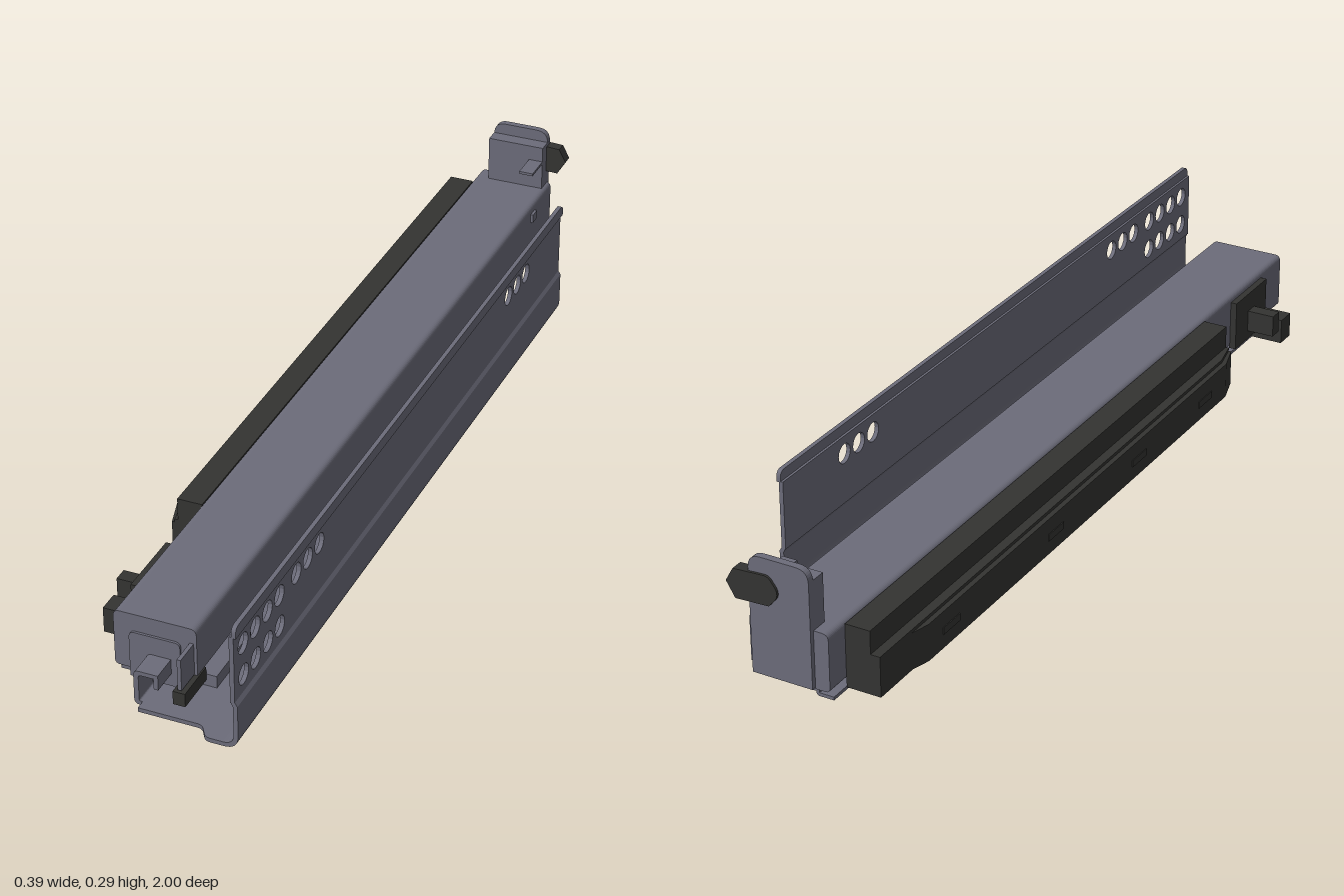
import * as THREE from 'three';

const steel = new THREE.MeshStandardMaterial({ color: 0x6c6c7a });
const plastic = new THREE.MeshStandardMaterial({ color: 0x343432 });

// Polygon shape; corners given as [x, y, r] are rounded by r
function poly(pts) {
  const s = new THREE.Shape();
  const n = pts.length;
  const toward = (a, b, d) => {
    const l = Math.hypot(b[0] - a[0], b[1] - a[1]);
    return [a[0] + (b[0] - a[0]) * d / l, a[1] + (b[1] - a[1]) * d / l];
  };
  pts.forEach((p, i) => {
    const r = p[2] || 0;
    const a = r ? toward(p, pts[(i + n - 1) % n], r) : p;
    if (i === 0) s.moveTo(a[0], a[1]); else s.lineTo(a[0], a[1]);
    if (r) {
      const b = toward(p, pts[(i + 1) % n], r);
      s.quadraticCurveTo(p[0], p[1], b[0], b[1]);
    }
  });
  s.closePath();
  return s;
}

const extrude = (shape, depth) =>
  new THREE.ExtrudeGeometry(shape, { depth, bevelEnabled: false, curveSegments: 8 });

// Shape in (x, y) swept along z
const alongZ = (shape, z0, z1) => extrude(shape, z1 - z0).translate(0, 0, z0);
// Shape in (z, y) swept along x
const alongX = (shape, x0, x1) => extrude(shape, x1 - x0).rotateY(-Math.PI / 2).translate(x1, 0, 0);
// Shape in (x, z) swept along y
const alongY = (shape, y0, y1) => extrude(shape, y1 - y0).rotateX(Math.PI / 2).translate(0, y1, 0);
const box = (x0, x1, y0, y1, z0, z1) =>
  new THREE.BoxGeometry(x1 - x0, y1 - y0, z1 - z0)
    .translate((x0 + x1) / 2, (y0 + y1) / 2, (z0 + z1) / 2);

export function createModel() {
  const root = new THREE.Group();
  root.name = 'drawerRunner';
  const group = (name) => {
    const g = new THREE.Group();
    g.name = name;
    root.add(g);
    return g;
  };
  const add = (parent, name, geo, mat = steel) => {
    const m = new THREE.Mesh(geo, mat);
    m.name = name;
    parent.add(m);
  };

  // Cabinet bracket: base plate, rounded fold, stepped wall with screw holes
  const bracket = group('cabinetBracket');
  add(bracket, 'basePlate', alongY(poly([
    [-0.025, -0.56], [0.09, -0.56], [0.09, -0.69], [0.16, -0.69],
    [0.16, 1], [0.125, 1, 0.01], [0.105, 0.97, 0.01], [-0.025, 0.97]]), 0.011, 0.02));
  add(bracket, 'wallFold', alongZ(poly([
    [0.16, 0.011], [0.191, 0.011, 0.03], [0.191, 0.107], [0.186, 0.115],
    [0.177, 0.115], [0.182, 0.105], [0.182, 0.02, 0.022], [0.16, 0.02]]), -0.69, 1));
  const panel = poly([[-0.69, 0.113], [1, 0.113], [1, 0.258], [-0.69, 0.258]]);
  const upperHoles = [0.96, 0.908, 0.855, 0.803, 0.727, 0.675, 0.622, -0.372, -0.424, -0.476];
  const lowerHoles = upperHoles.slice(0, 4);
  [[upperHoles, 0.22], [lowerHoles, 0.152]].forEach(([list, y]) => list.forEach((z) => {
    const h = new THREE.Path();
    h.absarc(z, y, 0.021, 0, Math.PI * 2, true);
    panel.holes.push(h);
  }));
  add(bracket, 'wallPanel', alongX(panel, 0.177, 0.186));
  add(bracket, 'wallTopEdge', alongX(poly([
    [-0.69, 0.256], [1, 0.256], [1, 0.28, 0.015], [-0.69, 0.28, 0.015]]), 0.182, 0.191));
  // Folded rail that carries the rollers
  add(bracket, 'innerRail', alongZ(poly([
    [-0.025, 0.011], [-0.042, 0.011, 0.012], [-0.042, 0.087, 0.012], [0.008, 0.087],
    [0.008, 0.055], [-0.001, 0.055], [-0.001, 0.078], [-0.032, 0.078, 0.006],
    [-0.032, 0.02, 0.004], [-0.025, 0.02]]), -0.56, 0.95));
  add(bracket, 'locatingPeg', box(0.14, 0.157, 0.002, 0.012, 0.965, 0.985));
  add(bracket, 'guideBlock', box(0.035, 0.083, 0.02, 0.046, 0.71, 0.86));
  add(bracket, 'frontStop', box(0.037, 0.062, 0.033, 0.062, 0.86, 0.95), plastic);

  // Middle rail with its side foot
  const middle = group('middleRail');
  add(middle, 'middleBody', alongZ(poly([
    [-0.077, 0.027], [0.027, 0.027], [0.027, 0.127, 0.012], [-0.077, 0.127, 0.012]]), -0.97, 0.895));
  add(middle, 'middleFoot', alongZ(poly([
    [-0.108, 0.018], [-0.07, 0.018, 0.008], [-0.07, 0.04], [-0.077, 0.04],
    [-0.077, 0.025], [-0.108, 0.025]]), -0.97, 0.87));
  add(middle, 'rightLip', box(0.02, 0.05, 0.03, 0.064, -0.97, 0.7));

  // Drawer channel
  const channel = group('drawerChannel');
  add(channel, 'channelBody', alongZ(poly([
    [-0.11, 0.042, 0.01], [0.04, 0.042], [0.04, 0.062], [0.059, 0.062],
    [0.059, 0.164, 0.014], [-0.11, 0.164, 0.014]]), -0.985, 0.89));
  add(channel, 'sideTab', box(0.058, 0.065, 0.125, 0.145, -0.88, -0.855));
  add(channel, 'frontSpring', box(0.045, 0.053, 0.064, 0.132, 0.88, 0.945));

  // Rear stop: raised plate, block, tongue and swivelling hook
  const rear = group('rearStop');
  add(rear, 'rearPlate', alongZ(poly([
    [-0.079, 0.045], [0.05, 0.045], [0.05, 0.292, 0.028], [-0.079, 0.292, 0.028]]), -0.995, -0.98));
  add(rear, 'rearBlock', box(-0.079, 0.05, 0.15, 0.266, -0.99, -0.948));
  add(rear, 'rearTongue', box(0.018, 0.05, 0.226, 0.232, -0.95, -0.885));
  add(rear, 'rearHook', alongZ(poly([
    [-0.02, 0.226, 0.02], [0.005, 0.198], [0.077, 0.195], [0.096, 0.227],
    [0.08, 0.256], [0.005, 0.26, 0.01]]), -1, -0.975), plastic);

  // Long side cover, stepped in height and tapered at both ends
  const cover = group('sideCover');
  add(cover, 'coverLower', alongY(poly([
    [-0.11, -0.93], [-0.183, -0.93], [-0.183, -0.82], [-0.194, -0.78],
    [-0.194, 0.45], [-0.176, 0.51], [-0.11, 0.51]]), 0.025, 0.103), plastic);
  add(cover, 'coverLedge', alongY(poly([
    [-0.11, -0.93], [-0.183, -0.93], [-0.183, 0.45], [-0.17, 0.51], [-0.11, 0.51]]), 0.102, 0.11), plastic);
  add(cover, 'coverUpper', box(-0.163, -0.11, 0.108, 0.159, -0.93, 0.51), plastic);
  [-0.7, -0.3, 0.05, 0.35].forEach((z) =>
    add(cover, 'coverClip', box(-0.196, -0.19, 0.055, 0.07, z - 0.03, z + 0.03), plastic));

  // Front release latch with two prongs
  const latch = group('releaseLatch');
  add(latch, 'latchPlate', box(-0.124, -0.108, 0.04, 0.15, 0.64, 0.79), plastic);
  add(latch, 'rearProng', box(-0.185, -0.11, 0.06, 0.108, 0.7, 0.73), plastic);
  add(latch, 'frontProng', box(-0.185, -0.11, 0.025, 0.08, 0.745, 0.79), plastic);

  // Bottom clip curling up around the channel edge
  const clip = group('bottomClip');
  add(clip, 'clipPlate', alongY(poly([
    [-0.11, -0.54], [-0.08, -0.58], [0.021, -0.56], [0.021, -0.4], [-0.08, -0.38], [-0.11, -0.42]]),
  0.005, 0.01));
  add(clip, 'clipCurl', alongZ(poly([
    [-0.105, 0.005], [-0.125, 0.005, 0.014], [-0.125, 0.028], [-0.12, 0.028],
    [-0.12, 0.01, 0.01], [-0.105, 0.01]]), -0.54, -0.42));

  // Seat the lowest point on the ground
  root.position.y = -0.002;
  return root;
}
